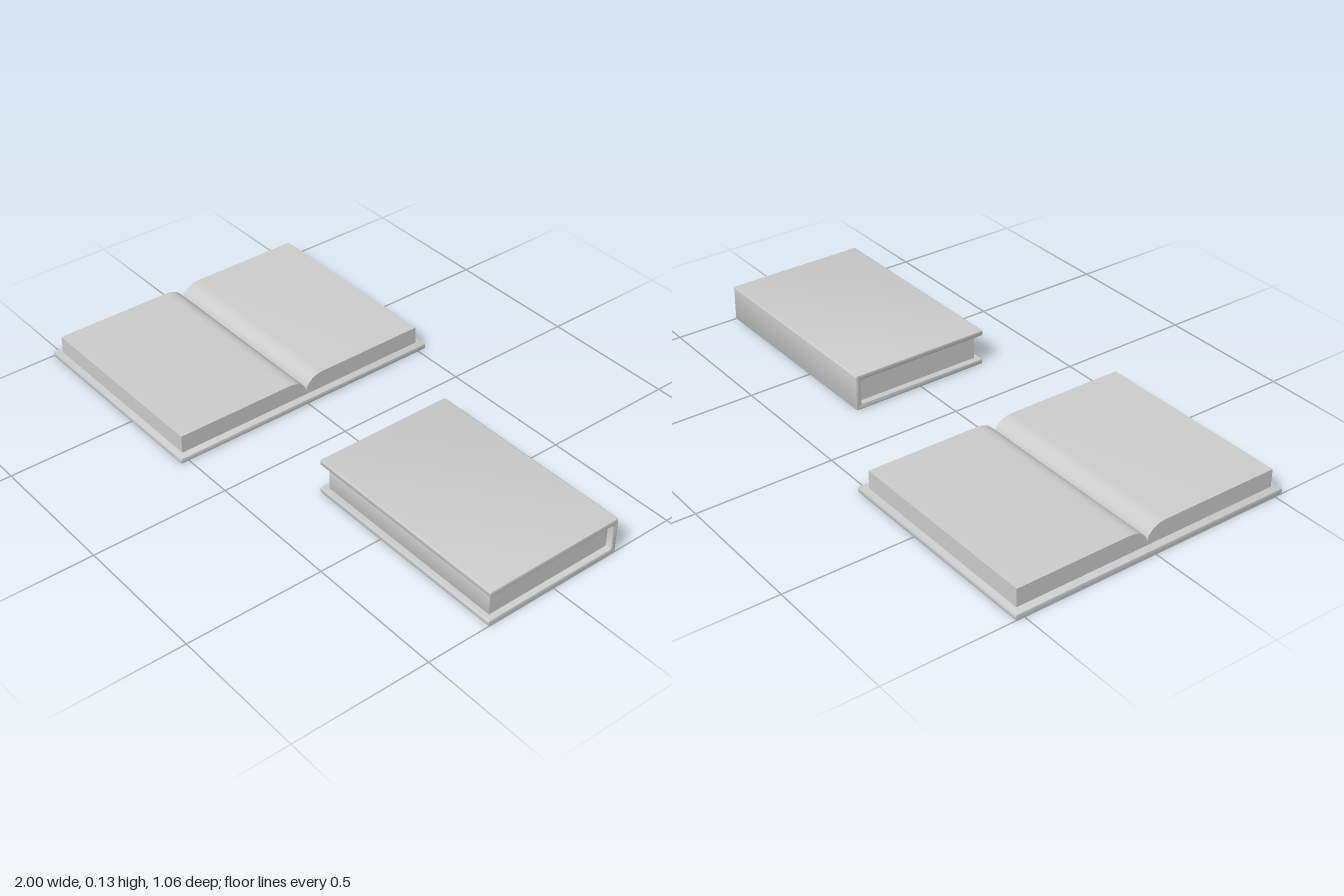
import * as THREE from 'three';
import { toCreasedNormals } from 'three/addons/utils/BufferGeometryUtils.js';

const material = new THREE.MeshStandardMaterial({ color: 0xcccccc });

// Outline with every corner softened by radius r
function softOutline(points, r) {
  const shape = new THREE.Shape();
  const n = points.length;
  const corners = points.map(p => new THREE.Vector2(...p));
  corners.forEach((p, i) => {
    const toward = q => q.clone().sub(p).setLength(r).add(p);
    const a = toward(corners[(i + n - 1) % n]);
    const b = toward(corners[(i + 1) % n]);
    if (i === 0) shape.moveTo(a.x, a.y); else shape.lineTo(a.x, a.y);
    shape.quadraticCurveTo(p.x, p.y, b.x, b.y);
  });
  shape.closePath();
  return shape;
}

// Sweeps a side profile (depth toward the back, height) from x0 to x1
function sweep(name, shape, x0, x1, bevel = 0) {
  const geometry = new THREE.ExtrudeGeometry(shape, {
    depth: x1 - x0 - 2 * bevel, curveSegments: 4,
    bevelEnabled: bevel > 0, bevelThickness: bevel, bevelSize: bevel,
    bevelOffset: -bevel, bevelSegments: 2,
  });
  geometry.translate(0, 0, x0 + bevel);
  geometry.rotateY(Math.PI / 2);
  const mesh = new THREE.Mesh(toCreasedNormals(geometry, 0.75), material);
  mesh.name = name;
  return mesh;
}

function rectangle(back0, back1, y0, y1) {
  return [[back0, y0], [back1, y0], [back1, y1], [back0, y1]];
}

function createOpenBook() {
  const book = new THREE.Group();
  book.name = 'openBook';
  book.add(sweep('openCover', softOutline(rectangle(-0.532, 0.532, 0, 0.02), 0.005), -1, -0.2, 0.004));

  // Two page stacks whose tops roll down into the central gutter
  const top = 0.086, low = 0.03, roll = 0.07, gutter = 0.012;
  const pages = new THREE.Shape();
  pages.moveTo(-0.508, 0.015);
  pages.lineTo(0.508, 0.015);
  pages.lineTo(0.508, top);
  for (const side of [1, -1]) {
    for (let i = 0; i <= 8; i++) {
      const t = (side > 0 ? i : 8 - i) / 8 * Math.PI / 2;
      pages.lineTo(gutter + side * roll * (1 - Math.sin(t)), low + (top - low) * Math.cos(t));
    }
  }
  pages.lineTo(-0.508, top);
  pages.closePath();
  book.add(sweep('openPages', pages, -0.972, -0.228));
  return book;
}

function createClosedBook() {
  const book = new THREE.Group();
  book.name = 'closedBook';
  // Front board, spine and back board in one wrap
  const wrap = [
    [-0.266, 0], [0.266, 0], [0.266, 0.134], [-0.266, 0.134],
    [-0.266, 0.114], [0.246, 0.114], [0.246, 0.02], [-0.266, 0.02],
  ];
  book.add(sweep('closedCover', softOutline(wrap, 0.006), 0.2, 1, 0.004));
  book.add(sweep('closedPages', softOutline(rectangle(-0.245, 0.25, 0.016, 0.118), 0.001), 0.222, 0.978));
  return book;
}

export function createModel() {
  const model = new THREE.Group();
  model.name = 'books';
  model.add(createOpenBook(), createClosedBook());
  return model;
}
